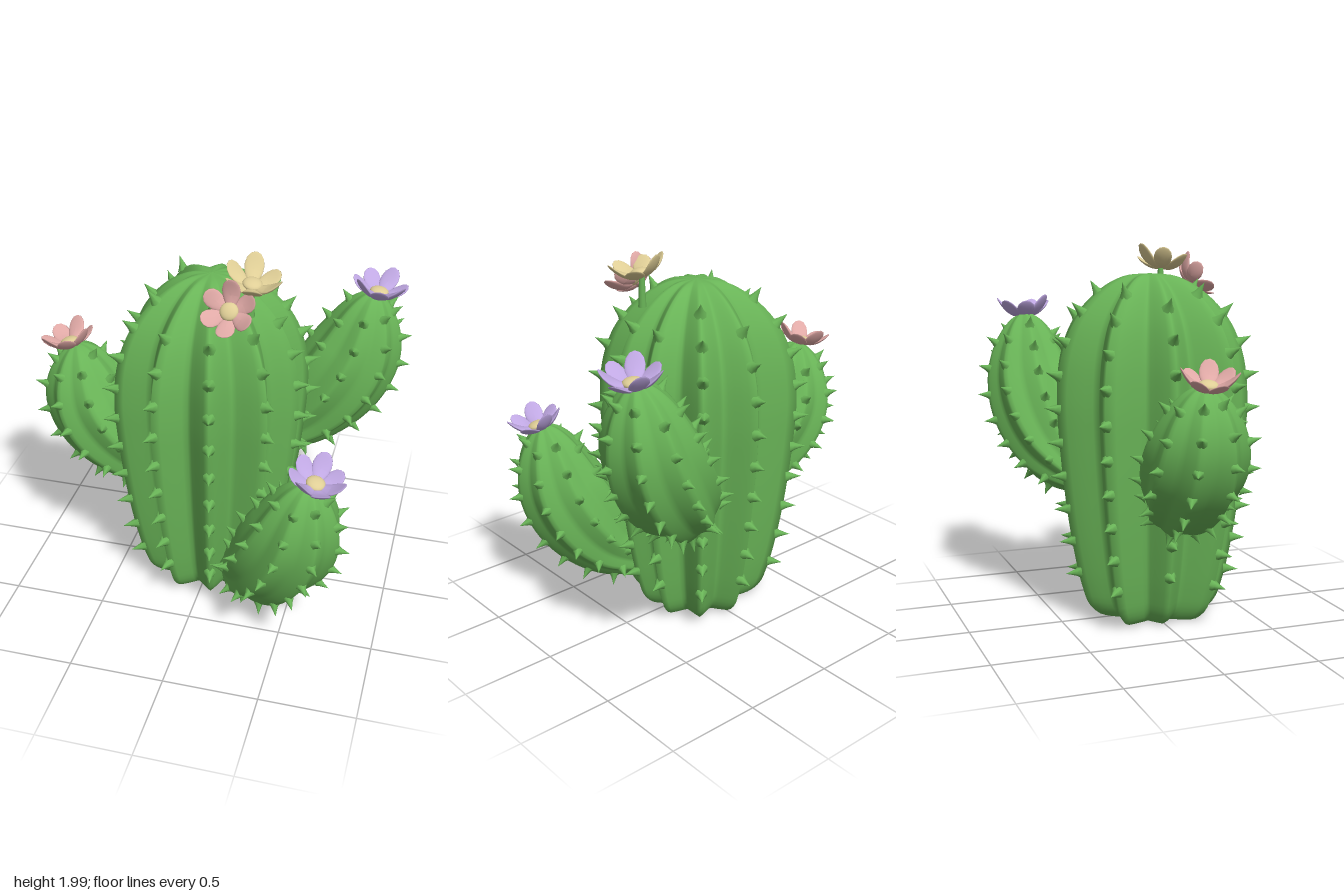
import * as THREE from 'three';
import { mergeGeometries } from 'three/addons/utils/BufferGeometryUtils.js';

const V = (x, y, z) => new THREE.Vector3(x, y, z);
const UP = V(0, 1, 0);
const DEG = Math.PI / 180;

const material = (name, color) => {
  const m = new THREE.MeshStandardMaterial({ color });
  m.name = name;
  return m;
};

// Ribbed skin through rings {p, T, r}; each rib is { angle, scale } round the axis
function ribbedBody(rings, ref, ribs, depth) {
  const steps = 10, dirs = [], pos = [], idx = [];
  const evenSpan = Math.PI * 2 / ribs.length;
  ribs.forEach((rib, k) => {
    const next = ribs[(k + 1) % ribs.length];
    const span = (next.angle - rib.angle + Math.PI * 4) % (Math.PI * 2);
    const cut = depth * Math.min(1.2, span / evenSpan);
    for (let i = 0; i < steps; i++) {
      const u = i / steps, s = Math.sin(Math.PI * u), tent = 1 - Math.abs(2 * u - 1);
      const peak = THREE.MathUtils.lerp(rib.scale, next.scale, u);
      dirs.push({ a: rib.angle + span * u, f: peak * (1 - cut * (0.5 * s + 0.5 * tent)) });
    }
  });
  const radial = (ring, a) => {
    const N = ref.clone().addScaledVector(ring.T, -ref.dot(ring.T)).normalize();
    const B = N.clone().cross(ring.T);
    return N.multiplyScalar(Math.cos(a)).addScaledVector(B, Math.sin(a));
  };
  const point = (ring, d) => radial(ring, d.a).multiplyScalar(ring.r * d.f).add(ring.p);
  const n = dirs.length;
  rings.forEach((ring, j) => dirs.forEach((d, i) => {
    pos.push(...point(ring, d).toArray());
    if (j === rings.length - 1) return;
    const a = j * n + i, b = j * n + (i + 1) % n;
    idx.push(a, a + n, b, b, a + n, b + n);
  }));
  const skin = new THREE.BufferGeometry();
  skin.setAttribute('position', new THREE.Float32BufferAttribute(pos, 3));
  skin.setIndex(idx);
  skin.computeVertexNormals();
  return { skin, radial, point };
}

// Flared thorns at even distances along every rib
function thorns(rings, body, ribs, spacing, first, size, minR) {
  const thorn = new THREE.LatheGeometry(
    [[0.034, -0.012], [0.02, 0.012], [0.01, 0.04], [0, 0.07]].map(([x, y]) => new THREE.Vector2(x * size, y * size)), 7);
  const parts = [];
  ribs.forEach((rib, k) => {
    let due = first + (k % 2) * spacing * 0.12, walked = 0;
    for (let j = 1; j < rings.length; j++) {
      const d = { a: rib.angle, f: rib.scale };
      const p0 = body.point(rings[j - 1], d), p1 = body.point(rings[j], d);
      const len = p0.distanceTo(p1);
      while (walked + len >= due) {
        if (rings[j].r > minR) {
          const tan = p1.clone().sub(p0).normalize();
          const out = body.radial(rings[j], rib.angle);
          out.addScaledVector(tan, -out.dot(tan)).normalize().addScaledVector(UP, 0.15).normalize();
          const g = thorn.clone().applyQuaternion(new THREE.Quaternion().setFromUnitVectors(UP, out));
          const at = p0.lerp(p1, (due - walked) / len);
          parts.push(g.translate(at.x, at.y, at.z));
        }
        due += spacing;
      }
      walked += len;
    }
  });
  return mergeGeometries(parts);
}

// Cupped flower: bent, flattened petals round a domed centre
function makeFlower(name, at, normal, petals, size, spin, petalMat, centreMat) {
  const flower = new THREE.Group();
  flower.name = name;
  const petal = new THREE.SphereGeometry(1, 16, 12);
  const p = petal.attributes.position;
  for (let i = 0; i < p.count; i++) {
    const along = (p.getZ(i) + 1) / 2;
    const x = p.getX(i) * 0.05 * (0.5 + 0.75 * along);
    const lift = 0.012 + 0.078 * Math.pow(along, 2.2) + x * x;
    p.setXYZ(i, x, p.getY(i) * 0.014 + lift, 0.01 + along * 0.132);
  }
  petal.computeVertexNormals();
  for (let i = 0; i < petals; i++) {
    const m = new THREE.Mesh(petal, petalMat);
    m.name = 'petal';
    m.rotation.y = spin + (i / petals) * Math.PI * 2;
    m.scale.y = 1 + 0.25 * Math.sin(i * 2.4);
    flower.add(m);
  }
  const centre = new THREE.Mesh(new THREE.SphereGeometry(0.048, 16, 10), centreMat);
  centre.name = 'flowerCentre';
  centre.scale.y = 0.45;
  centre.position.y = 0.026;
  flower.add(centre);
  flower.position.set(...at);
  flower.quaternion.setFromUnitVectors(UP, V(...normal).normalize());
  flower.scale.setScalar(size);
  return flower;
}

export function createModel() {
  const green = material('cactusGreen', 0x69b457);
  const purple = material('purplePetal', 0xc0a8e3);
  const pink = material('pinkPetal', 0xe0a9a6);
  const yellow = material('paleYellow', 0xdfce96);
  const model = new THREE.Group();
  model.name = 'cactus';

  const addBody = (name, rings, ref, ribs, depth, thornArgs) => {
    const body = ribbedBody(rings, ref, ribs, depth);
    const group = new THREE.Group();
    group.name = name;
    const skin = new THREE.Mesh(body.skin, green);
    skin.name = name + 'Skin';
    const spikes = new THREE.Mesh(thorns(rings, body, ribs, ...thornArgs), green);
    spikes.name = name + 'Thorns';
    group.add(skin, spikes);
    model.add(group);
  };

  // Trunk: upright profile with ten slightly uneven ribs
  const profile = new THREE.CatmullRomCurve3([
    [0, 0.015], [0.13, 0.006], [0.25, 0.006], [0.325, 0.07], [0.365, 0.18], [0.4, 0.34], [0.44, 0.6], [0.475, 0.95],
    [0.485, 1.2], [0.46, 1.42], [0.39, 1.6], [0.26, 1.75], [0.13, 1.825], [0, 1.84],
  ].map(([r, y]) => V(r, y, 0)), false, 'centripetal');
  const trunkRings = profile.getSpacedPoints(70).map(q => ({ p: V(0, q.y, 0), T: UP, r: Math.max(q.x, 0.0005) }));
  const trunkRibs = [
    [10, 1.01], [43, 1.06], [77, 1.06], [111, 1.07], [145, 1.1], [183, 0.94], [225, 1.09], [273, 1.04], [307, 1.09], [340, 1.06],
  ].map(([a, scale]) => ({ angle: a * DEG, scale }));
  addBody('trunk', trunkRings, V(1, 0, 0), trunkRibs, 0.275, [0.178, 0.54, 1, 0.24]);

  // Arms: curved bodies that taper into the trunk
  const armRibs = Array.from({ length: 8 }, (_, i) => ({ angle: (i + 0.5) * 45 * DEG, scale: 1 }));
  const arms = [
    ['rightArm', 0.262, [[-0.22, 0.57, 0], [-0.46, 0.73, 0], [-0.675, 1.01, 0], [-0.75, 1.335, 0]]],
    ['backLeftArm', 0.262, [[0.2, 0.67, -0.28], [0.46, 0.88, -0.41], [0.68, 1.22, -0.47], [0.77, 1.6, -0.48]]],
    ['frontLeftArm', 0.258, [[0.12, 0.17, 0.18], [0.35, 0.32, 0.36], [0.55, 0.65, 0.48], [0.63, 1.035, 0.53]]],
  ];
  for (const [name, radius, pts] of arms) {
    const path = new THREE.CatmullRomCurve3(pts.map(q => V(...q)));
    const reach = path.getPoint(1).sub(path.getPoint(0));
    const rings = Array.from({ length: 49 }, (_, j) => {
      const t = (1 - Math.cos(Math.PI * j / 48)) / 2;
      const r = radius * Math.pow(Math.max(0, Math.sin(Math.PI * Math.pow(t, 1.18))), 0.53);
      return { p: path.getPointAt(t), T: path.getTangentAt(t), r: Math.max(r, 0.0005) };
    });
    addBody(name, rings, V(reach.z, 0, -reach.x).normalize(), armRibs, 0.14, [0.155, 0.26, 0.85, 0.1]);
  }

  // Blossoms
  model.add(
    makeFlower('yellowFlower', [0.24, 1.855, 0.155], [0.18, 1, 0.18], 6, 1.04, 0.2, yellow, yellow),
    makeFlower('topPinkFlower', [0.165, 1.78, 0.285], [0.03, 0.6, 0.8], 6, 0.97, 0, pink, yellow),
    makeFlower('rightPinkFlower', [-0.78, 1.315, 0], [-0.27, 1, 0], 7, 1.02, 0.3, pink, yellow),
    makeFlower('backPurpleFlower', [0.785, 1.575, -0.48], [0.12, 1, 0], 7, 1.06, 0.1, purple, yellow),
    makeFlower('frontPurpleFlower', [0.655, 1.015, 0.53], [0.22, 1, 0.18], 7, 1.03, 0.4, purple, yellow),
  );
  // Short stem that lifts the yellow blossom
  const stem = new THREE.Mesh(new THREE.CylinderGeometry(0.015, 0.022, 0.16, 10), green);
  stem.name = 'flowerStem';
  stem.position.set(0.235, 1.78, 0.15);
  model.add(stem);
  return model;
}
